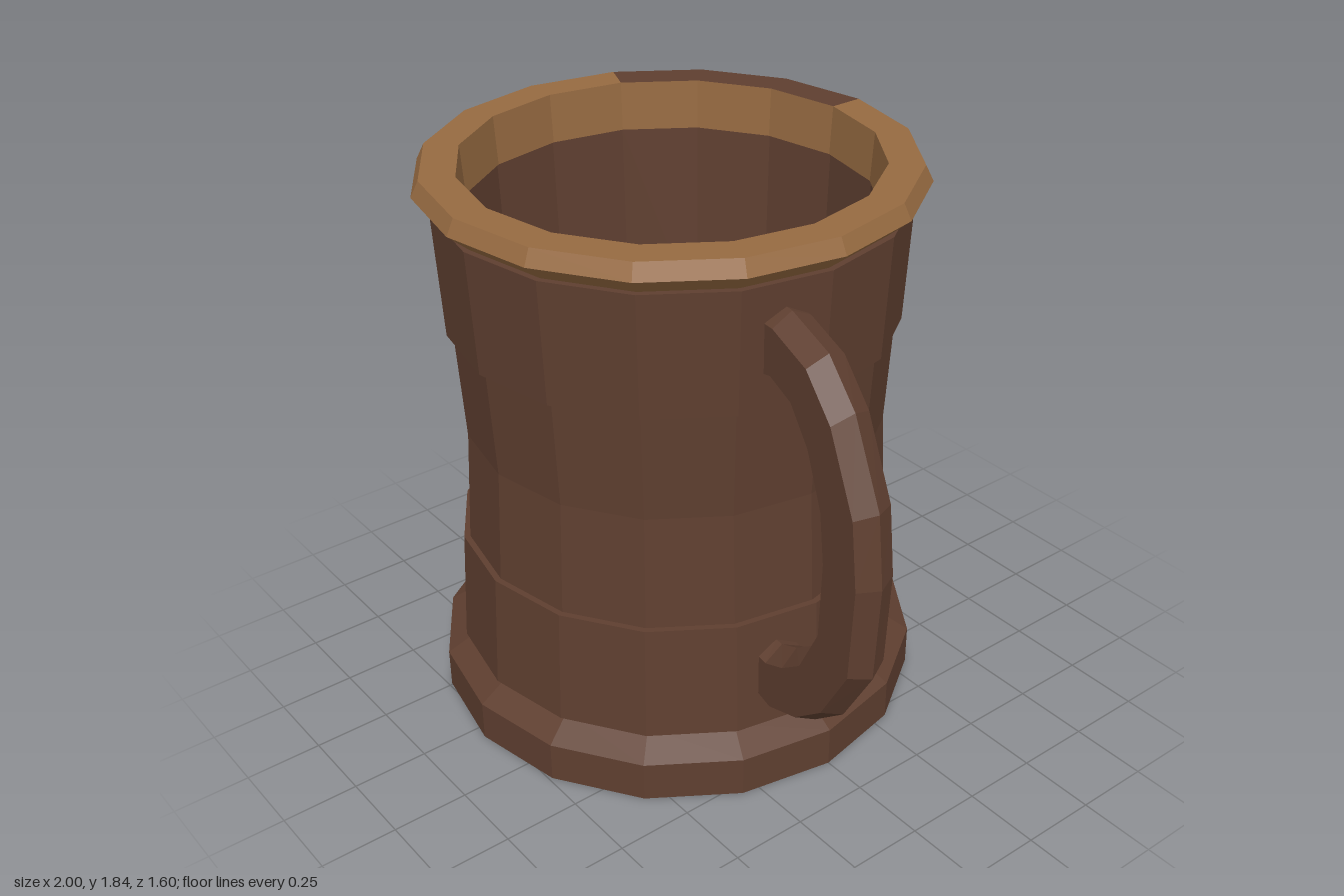
import * as THREE from 'three';

const SIDES = 16, STEP = Math.PI * 2 / SIDES;

export function createModel() {
  const model = new THREE.Group();
  const brown = new THREE.MeshStandardMaterial({ color: 0x5f3f30, flatShading: true });
  brown.name = 'darkWood';
  const tan = new THREE.MeshStandardMaterial({ color: 0x966a41, flatShading: true });
  tan.name = 'lightWood';

  // The mug body stands off-centre to leave room for the handle
  const body = new THREE.Group();
  body.name = 'body';
  body.position.x = -0.2;
  model.add(body);

  // Turned strip covering `count` of the 16 facets, starting at facet `first`
  const turned = (name, material, profile, first = 0, count = SIDES) => {
    const points = profile.map(([r, y]) => new THREE.Vector2(r, y));
    const geometry = new THREE.LatheGeometry(points, count, first * STEP, count * STEP).toNonIndexed();
    geometry.computeVertexNormals();
    const mesh = new THREE.Mesh(geometry, material);
    mesh.name = name;
    body.add(mesh);
  };

  turned('base', brown, [[0, 0], [0.8, 0], [0.8, 0.135], [0.7, 0.2]]);
  turned('lowerBand', brown, [[0.69, 0.2], [0.735, 0.2], [0.715, 0.59], [0.69, 0.59]]);
  turned('waist', brown, [[0.695, 0.59], [0.675, 0.97], [0.695, 1.33]]);
  turned('upperBand', brown, [[0.69, 1.33], [0.715, 1.33], [0.735, 1.73], [0.69, 1.73]]);
  turned('interior', brown, [[0.645, 1.68], [0.62, 0.97], [0.64, 0.3], [0.48, 0.22], [0, 0.22]]);

  // Rim, with a few worn dark facets at the back
  const topFace = [[0.76, 1.84], [0.65, 1.84]];
  const bevel = [[0.785, 1.79], [0.76, 1.84]];
  turned('rimUnderside', tan, [[0.69, 1.73], [0.715, 1.73], [0.785, 1.79]]);
  turned('rimInside', tan, [[0.65, 1.84], [0.64, 1.68]]);
  turned('rimTop', tan, topFace, 11, 13);
  turned('rimTopWorn', brown, topFace, 8, 3);
  turned('rimBevel', tan, bevel, 10, 15);
  turned('rimBevelWorn', brown, bevel, 9, 1);

  // Handle: hexagonal sections, each given as outer x, y and inner x, y
  const sections = [
    [0.49, 1.65, 0.49, 1.42], [0.53, 1.65, 0.52, 1.43], [0.71, 1.60, 0.61, 1.40],
    [0.84, 1.48, 0.69, 1.30], [0.97, 1.23, 0.75, 1.15], [1.00, 1.00, 0.77, 1.00],
    [0.98, 0.68, 0.76, 0.76], [0.85, 0.46, 0.68, 0.60], [0.71, 0.34, 0.60, 0.54],
    [0.56, 0.28, 0.52, 0.50], [0.49, 0.29, 0.49, 0.50],
  ];
  // Fraction from outer to inner edge, and sideways offset
  const hexagon = [[0, 0], [0.16, 0.07], [0.84, 0.07], [1, 0], [0.84, -0.07], [0.16, -0.07]];
  const positions = [], indices = [];
  sections.forEach(([ox, oy, ix, iy], j) => {
    hexagon.forEach(([t, side], k) => {
      const x = ox + (ix - ox) * t, y = oy + (iy - oy) * t;
      positions.push(x, y, 0.14 + (x - 0.5) * 0.13 + side);
      if (j === sections.length - 1) return;
      const a = j * 6 + k, b = j * 6 + (k + 1) % 6;
      indices.push(a, b, b + 6, a, b + 6, a + 6);
    });
  });
  const last = (sections.length - 1) * 6;
  for (let k = 1; k < 5; k++) {
    indices.push(0, k + 1, k, last, last + k, last + k + 1);
  }
  const indexed = new THREE.BufferGeometry();
  indexed.setAttribute('position', new THREE.Float32BufferAttribute(positions, 3));
  indexed.setIndex(indices);
  const handleGeometry = indexed.toNonIndexed();
  handleGeometry.computeVertexNormals();
  const handle = new THREE.Mesh(handleGeometry, brown);
  handle.name = 'handle';
  model.add(handle);

  return model;
}
